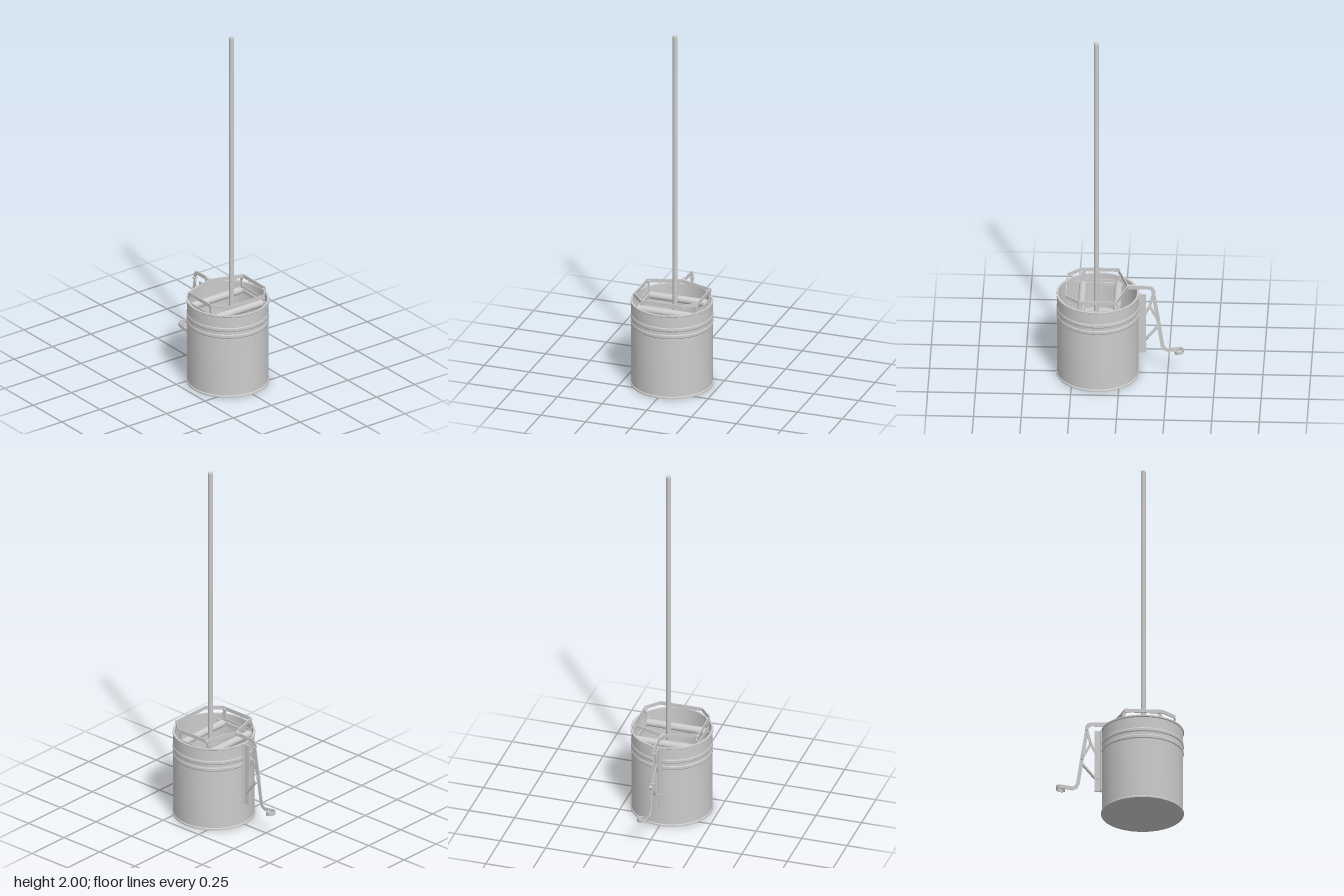
import * as THREE from 'three';
import { toCreasedNormals } from 'three/addons/utils/BufferGeometryUtils.js';

const V = (x, y, z) => new THREE.Vector3(x, y, z);
const CX = 0.117; // bucket axis

export function createModel() {
  const root = new THREE.Group();
  root.name = 'mopBucket';
  const mat = new THREE.MeshStandardMaterial({ color: 0xcccccc });
  const thinMat = new THREE.MeshStandardMaterial({ color: 0xcccccc, side: THREE.DoubleSide });

  const add = (name, geometry, x = 0, y = 0, z = 0, parent = root, material = mat) => {
    const mesh = new THREE.Mesh(geometry, material);
    mesh.name = name;
    mesh.position.set(x, y, z);
    parent.add(mesh);
    return mesh;
  };

  // cylinder between two points
  const rod = (name, a, b, r, parent = root, sides = 12) => {
    const mesh = add(name, new THREE.CylinderGeometry(r, r, a.distanceTo(b), sides), 0, 0, 0, parent);
    mesh.position.copy(a).add(b).multiplyScalar(0.5);
    mesh.quaternion.setFromUnitVectors(V(0, 1, 0), b.clone().sub(a).normalize());
    return mesh;
  };

  // flat bar swept along points: "wide" along the fixed axis, "thick" across it
  const bar = (name, pts, axis, wide, thick, closed = false, parent = root) => {
    const n = pts.length, pos = [], idx = [];
    pts.forEach((p, i) => {
      const prev = closed ? pts[(i + n - 1) % n] : pts[Math.max(i - 1, 0)];
      const next = closed ? pts[(i + 1) % n] : pts[Math.min(i + 1, n - 1)];
      const t0 = p.clone().sub(prev).normalize(), t1 = next.clone().sub(p).normalize();
      const t = t0.clone().add(t1).normalize();
      const miter = 1 / Math.max(0.5, t.dot(t1.lengthSq() ? t1 : t0));
      const s = t.cross(axis).normalize().multiplyScalar(thick / 2 * miter);
      for (const [u, v] of [[-1, -1], [1, -1], [1, 1], [-1, 1]]) {
        pos.push(...p.clone().addScaledVector(axis, u * wide / 2).addScaledVector(s, v).toArray());
      }
    });
    for (let i = 0; i < (closed ? n : n - 1); i++) {
      for (let k = 0; k < 4; k++) {
        const l = (k + 1) % 4, a = i * 4, b = ((i + 1) % n) * 4;
        idx.push(a + k, a + l, b + l, a + k, b + l, b + k);
      }
    }
    if (!closed) {
      const e = (n - 1) * 4;
      idx.push(0, 2, 1, 0, 3, 2, e, e + 1, e + 2, e, e + 2, e + 3);
    }
    const g = new THREE.BufferGeometry();
    g.setAttribute('position', new THREE.Float32BufferAttribute(pos, 3));
    g.setIndex(idx);
    return add(name, toCreasedNormals(g, 0.5), 0, 0, 0, parent);
  };
  const Y = V(0, 1, 0), Z = V(0, 0, 1);

  // bucket: outer wall with rolled rims and two ridges, then the inside
  const profile = [
    [0, 0], [0.218, 0], [0.218, 0.008], [0.214, 0.012], [0.214, 0.343], [0.217, 0.348],
    [0.217, 0.361], [0.214, 0.366], [0.214, 0.382], [0.217, 0.387], [0.217, 0.4], [0.214, 0.405],
    [0.214, 0.465], [0.218, 0.468], [0.218, 0.476], [0.207, 0.476], [0.207, 0.012], [0, 0.012],
  ].map(([r, y]) => new THREE.Vector2(r, y));
  add('bucket', toCreasedNormals(new THREE.LatheGeometry(profile, 32), 0.5), CX, 0, 0, root, thinMat);
  const water = add('water', new THREE.CircleGeometry(0.207, 32), CX, 0.27, 0);
  water.rotation.x = -Math.PI / 2;

  // mop
  const mop = new THREE.Group();
  mop.name = 'mop';
  root.add(mop);
  rod('mopHandle', V(0.123, 0.15, -0.02), V(0.123, 1.99, -0.02), 0.013, mop, 16);
  const tip = add('handleTip', new THREE.SphereGeometry(0.013, 16, 6, 0, Math.PI * 2, 0, Math.PI / 2), 0.123, 1.99, -0.02, mop);
  tip.scale.y = 0.77;
  add('mopHead', new THREE.CylinderGeometry(0.02, 0.1, 0.2, 20), 0.123, 0.115, -0.02, mop);
  for (let i = 0; i < 6; i++) {
    const a = 2.6 + i * 0.25, c = Math.cos(a), s = Math.sin(a);
    const curve = new THREE.QuadraticBezierCurve3(
      V(0.123 + c * 0.015, 0.268, -0.02 + s * 0.015),
      V(0.123 + c * 0.03, 0.274, -0.02 + s * 0.03),
      V(0.123 + c * 0.047, 0.266, -0.02 + s * 0.047));
    add('mopStrand', new THREE.TubeGeometry(curve, 6, 0.002, 6), 0, 0, 0, mop);
  }

  // wringer: rollers, rails, posts and links mirrored front to back
  const wringer = new THREE.Group();
  wringer.name = 'wringer';
  root.add(wringer);
  for (const x of [0.013, 0.2]) {
    rod('roller', V(x, 0.435, -0.158), V(x, 0.435, 0.158), 0.02, wringer, 24);
    rod('rollerAxle', V(x, 0.435, -0.18), V(x, 0.435, 0.18), 0.005, wringer);
  }
  for (const s of [-1, 1]) {
    add('sideRail', new THREE.BoxGeometry(0.255, 0.022, 0.007), 0.115, 0.435, s * 0.163, wringer);
    add('innerRail', new THREE.BoxGeometry(0.19, 0.012, 0.004), 0.11, 0.455, s * 0.17, wringer);
    bar('rollerLink', [V(0.2, 0.435, s * 0.173), V(0.2, 0.49, s * 0.173), V(0.19, 0.513, s * 0.173)], Z, 0.005, 0.018, false, wringer);
    bar('pivotLink', [V(0.013, 0.435, s * 0.172), V(0.005, 0.49, s * 0.172), V(0.015, 0.513, s * 0.172)], Z, 0.005, 0.014, false, wringer);
    rod('pivotPin', V(0.013, 0.513, s * 0.163), V(0.013, 0.513, s * 0.182), 0.006, wringer);
    rod('pivotPin', V(0.2, 0.513, s * 0.163), V(0.2, 0.513, s * 0.182), 0.006, wringer);
  }
  const loop = [[-0.04, -0.006], [0.015, -0.177], [0.21, -0.177], [0.28, -0.115],
    [0.28, 0.115], [0.21, 0.177], [0.015, 0.177], [-0.04, 0.006]];
  bar('topFrame', loop.map(([x, z]) => V(x, 0.515, z)), Y, 0.02, 0.005, true, wringer);
  add('frameClevis', new THREE.BoxGeometry(0.032, 0.02, 0.014), -0.057, 0.515, 0, wringer);

  // foot lever: flat arm bending down to a curled pedal
  const lever = new THREE.Group();
  lever.name = 'footLever';
  root.add(lever);
  const arm = [[-0.045, 0.515], [-0.15, 0.515], [-0.167, 0.509], [-0.176, 0.494], [-0.176, 0.47],
    [-0.2, 0.32], [-0.222, 0.17], [-0.231, 0.15], [-0.25, 0.141], [-0.31, 0.15]];
  bar('leverArm', arm.map(([x, y]) => V(x, y, -0.005)), Z, 0.005, 0.02, false, lever);
  const curl = [];
  for (let i = 0; i <= 20; i++) {
    const a = Math.PI / 2 + (i / 20) * Math.PI * 1.9, r = 0.025 - 0.011 * Math.max(0, (i - 9) / 11);
    const x = -0.308 + Math.cos(a) * r;
    curl.push(V(x, 0.1035 - x * 0.15, -0.03 + Math.sin(a) * r));
  }
  bar('curledPedal', curl, Y, 0.02, 0.005, false, lever);

  // bracket on the bucket wall with the link and spring that hold the lever
  const bracket = new THREE.Group();
  bracket.name = 'leverBracket';
  root.add(bracket);
  add('bracketPlate', new THREE.BoxGeometry(0.036, 0.35, 0.006), -0.118, 0.3, -0.003, bracket);
  add('bracketFlange', new THREE.BoxGeometry(0.006, 0.35, 0.03), -0.1, 0.3, 0, bracket);
  bar('supportLink', [V(-0.195, 0.325, 0), V(-0.155, 0.4, 0), V(-0.125, 0.34, 0)], Z, 0.005, 0.014, false, bracket);
  bar('upperLink', [V(-0.176, 0.48, 0), V(-0.155, 0.4, 0)], Z, 0.005, 0.014, false, bracket);
  rod('spring', V(-0.197, 0.288, -0.017), V(-0.128, 0.205, -0.017), 0.008, bracket, 16);
  add('springEye', new THREE.TorusGeometry(0.007, 0.0025, 6, 12), -0.12, 0.196, -0.015, bracket);
  for (const [x, y] of [[-0.2, 0.31], [-0.155, 0.4], [-0.176, 0.48], [-0.12, 0.2], [-0.057, 0.515]]) {
    rod('pivotBolt', V(x, y, -0.016), V(x, y, 0.008), 0.006, bracket);
  }
  return root;
}
